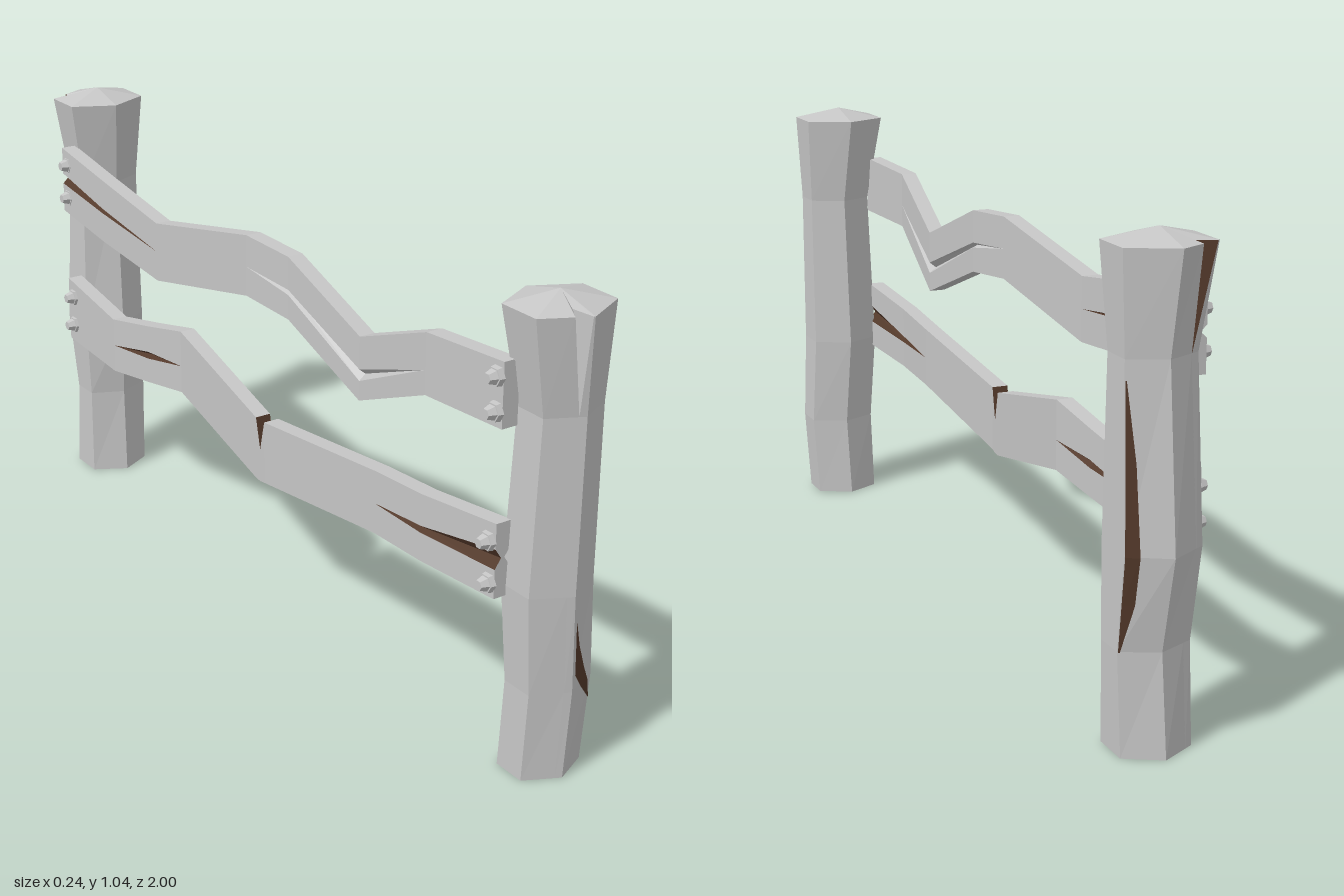
import * as THREE from 'three';

const wood = new THREE.MeshStandardMaterial({ color: 0xc6c6c6 });
wood.name = 'pale grey wood';
const core = new THREE.MeshStandardMaterial({ color: 0x53392a, side: THREE.DoubleSide });
core.name = 'brown split wood';

// Flat-shaded skin through closed rings; isCore(i, j) picks the brown faces.
function loft(name, rings, start, end, isCore) {
  const faces = [[], []];
  const tri = (m, ...pts) => pts.forEach((p) => faces[m].push(...p));
  const n = rings[0].length;
  for (let j = 0; j < n; j++) {
    const k = (j + 1) % n;
    for (let i = 0; i < rings.length - 1; i++) {
      const m = isCore(i, j) ? 1 : 0;
      const [a, b, c, d] = [rings[i][j], rings[i][k], rings[i + 1][k], rings[i + 1][j]];
      tri(m, a, b, c);
      tri(m, a, c, d);
    }
    tri(0, rings[0][k], rings[0][j], start);
    const last = rings[rings.length - 1];
    tri(0, last[j], last[k], end);
  }
  const geo = new THREE.BufferGeometry();
  geo.setAttribute('position', new THREE.Float32BufferAttribute(faces.flat(), 3));
  geo.addGroup(0, faces[0].length / 3, 0);
  geo.addGroup(faces[0].length / 3, faces[1].length / 3, 1);
  geo.computeVertexNormals();
  const mesh = new THREE.Mesh(geo, [wood, core]);
  mesh.name = name;
  return mesh;
}

const mix = (a, b, t) => a.map((v, i) => v + (b[i] - v) * t);

// Six corners of a post at one level [y, xMin, xMax, zMin, zMax]; corner 0 faces +z.
function hexagon([y, x0, x1, z0, z1]) {
  return [0, 1, 2, 3, 4, 5].map((j) => {
    const a = (j * Math.PI) / 3;
    return [
      (x0 + x1) / 2 + ((x1 - x0) / 2) * (Math.sin(a) / Math.sin(Math.PI / 3)),
      y,
      (z0 + z1) / 2 + ((z1 - z0) / 2) * Math.cos(a),
    ];
  });
}

// Hexagonal post with a wedge split out of one face at the rim.
function post(name, levels, face, u0, u1, brown) {
  const top = levels.length - 1;
  const rings = levels.map((level, i) => {
    const hex = hexagon(level);
    const a = hex[face], b = hex[(face + 1) % 6], mid = (u0 + u1) / 2;
    const half = i === top ? (u1 - u0) / 2 : 0.004;
    const centre = [(level[1] + level[2]) / 2, level[0], (level[3] + level[4]) / 2];
    const dent = mix(mix(a, b, mid), centre, i === top ? 0.5 : 0);
    hex.splice(face + 1, 0, mix(a, b, mid - half), dent, mix(a, b, mid + half));
    return hex;
  });
  const lo = levels[0], hi = levels[top];
  const centre = (l, dy) => [(l[1] + l[2]) / 2, l[0] + dy, (l[3] + l[4]) / 2];
  return loft(name, rings, centre(lo, 0), centre(hi, 0.026),
    (i, j) => brown && i === top - 1 && (j === face + 1 || j === face + 2));
}

// Thin brown split lying on one post face; rows are [y, uStart, uEnd].
function split(name, levels, face, rows) {
  const at = (y, u) => {
    let i = 0;
    while (i < levels.length - 2 && levels[i + 1][0] < y) i++;
    const t = (y - levels[i][0]) / (levels[i + 1][0] - levels[i][0]);
    const hex = hexagon(mix(levels[i], levels[i + 1], t));
    const p = mix(hex[face], hex[(face + 1) % 6], u);
    const out = ((face + 0.5) * Math.PI) / 3;
    return [p[0] + 0.004 * Math.sin(out), y, p[2] + 0.004 * Math.cos(out)];
  };
  const pos = [];
  for (let i = 0; i < rows.length - 1; i++) {
    const [y, a, b] = rows[i], [Y, A, B] = rows[i + 1];
    pos.push(...at(y, a), ...at(y, b), ...at(Y, B), ...at(y, a), ...at(Y, B), ...at(Y, A));
  }
  const geo = new THREE.BufferGeometry();
  geo.setAttribute('position', new THREE.Float32BufferAttribute(pos, 3));
  geo.computeVertexNormals();
  const mesh = new THREE.Mesh(geo, core);
  mesh.name = name;
  return mesh;
}

// Crooked rail; stations are [z, x, top, bottom, grooveY, grooveHalf, depth].
function rail(name, stations, isCore) {
  const h = 0.019;
  const rings = stations.map(([z, x, top, bottom, g, half, depth]) => [
    [-h, bottom], [h, bottom], [h, g - half], [h - depth, g], [h, g + half],
    [h, top], [-h, top], [-h, g + half], [-h + depth, g], [-h, g - half],
  ].map(([dx, y]) => [x + dx, y, z]));
  const mid = ([z, x, , , g]) => [x, g, z];
  return loft(name, rings, mid(stations[0]), mid(stations[stations.length - 1]), isCore);
}

// Hexagonal bolt with a washer, pointing to -x.
function bolt(y, z) {
  const group = new THREE.Group();
  group.name = 'bolt';
  [['washer', 0.02, 0.022, 0.012, 0.006], ['boltHead', 0.011, 0.017, 0.018, 0.02]].forEach(
    ([name, r0, r1, height, offset]) => {
      const geo = new THREE.CylinderGeometry(r0, r1, height, 6).toNonIndexed();
      geo.computeVertexNormals();
      const part = new THREE.Mesh(geo, wood);
      part.name = name;
      part.position.y = offset;
      group.add(part);
    });
  group.rotation.z = Math.PI / 2;
  group.position.set(-0.093, y, z);
  return group;
}

export function createModel() {
  const model = new THREE.Group();
  model.name = 'fence';

  // Posts
  const front = [
    [0, -0.058, 0.098, 0.828, 0.98], [0.2, -0.053, 0.11, 0.835, 0.985],
    [0.42, -0.064, 0.103, 0.818, 0.988], [0.8, -0.05, 0.104, 0.83, 0.982],
    [1.01, -0.085, 0.115, 0.8, 1],
  ];
  const back = [
    [0, -0.058, 0.098, -0.98, -0.81], [0.22, -0.053, 0.105, -0.965, -0.825],
    [0.42, -0.062, 0.105, -1, -0.808], [0.8, -0.05, 0.104, -0.972, -0.83],
    [1.01, -0.085, 0.115, -0.99, -0.797],
  ];
  model.add(
    post('frontPost', front, 5, 0.66, 0.97, false),
    post('backPost', back, 3, 0.55, 0.97, true),
    split('frontPostSplit', front, 0, [[0.15, 0.9, 0.92], [0.2, 0.35, 0.72], [0.24, 0.03, 0.5], [0.3, 0.03, 0.22], [0.36, 0.02, 0.04]]),
    split('backPostSplit', back, 2, [[0.22, 0.02, 0.06], [0.32, 0.02, 0.3], [0.42, 0.02, 0.32], [0.6, 0.02, 0.25], [0.76, 0.02, 0.05]]),
  );

  // Rails
  model.add(
    rail('upperRail', [
      [-0.875, -0.083, 0.9, 0.735, 0.82, 0.013, 0.014],
      [-0.66, -0.09, 0.872, 0.713, 0.792, 0.006, 0.01],
      [-0.39, -0.092, 0.833, 0.69, 0.762, 0, 0],
      [-0.03, -0.07, 0.9, 0.757, 0.826, 0, 0],
      [0.12, -0.058, 0.89, 0.745, 0.808, 0.006, 0.012],
      [0.385, -0.055, 0.79, 0.645, 0.703, 0.013, 0.016],
      [0.65, -0.085, 0.892, 0.758, 0.812, 0, 0],
      [0.875, -0.073, 0.902, 0.763, 0.83, 0, 0],
    ], (i, j) => i < 2 && [2, 3, 7, 8].includes(j)),
    rail('lowerRail', [
      [-0.875, -0.08, 0.55, 0.385, 0.47, 0, 0],
      [-0.65, -0.075, 0.505, 0.365, 0.435, 0, 0],
      [-0.5, -0.062, 0.532, 0.383, 0.455, 0.009, 0.012],
      [-0.36, -0.05, 0.56, 0.402, 0.47, 0, 0],
      [0.015, -0.076, 0.477, 0.325, 0.38, 0, 0],
      [0.035, -0.078, 0.405, 0.325, 0.38, 0, 0],
      [0.055, -0.08, 0.48, 0.329, 0.38, 0, 0],
      [0.48, -0.08, 0.525, 0.38, 0.45, 0, 0],
      [0.65, -0.085, 0.54, 0.388, 0.46, 0.008, 0.012],
      [0.875, -0.075, 0.563, 0.398, 0.485, 0.022, 0.015],
    ], (i, j) => ((i === 4 || i === 5) && j === 5)
      || ((i === 1 || i === 2 || i > 6) && [2, 3, 7, 8].includes(j))),
  );

  // Bolts at the rail ends
  [[0.87, 0.86], [0.797, 0.86], [0.52, 0.855], [0.43, 0.86],
    [0.86, -0.85], [0.775, -0.85], [0.505, -0.85], [0.43, -0.85],
  ].forEach(([y, z]) => model.add(bolt(y, z)));
  return model;
}
